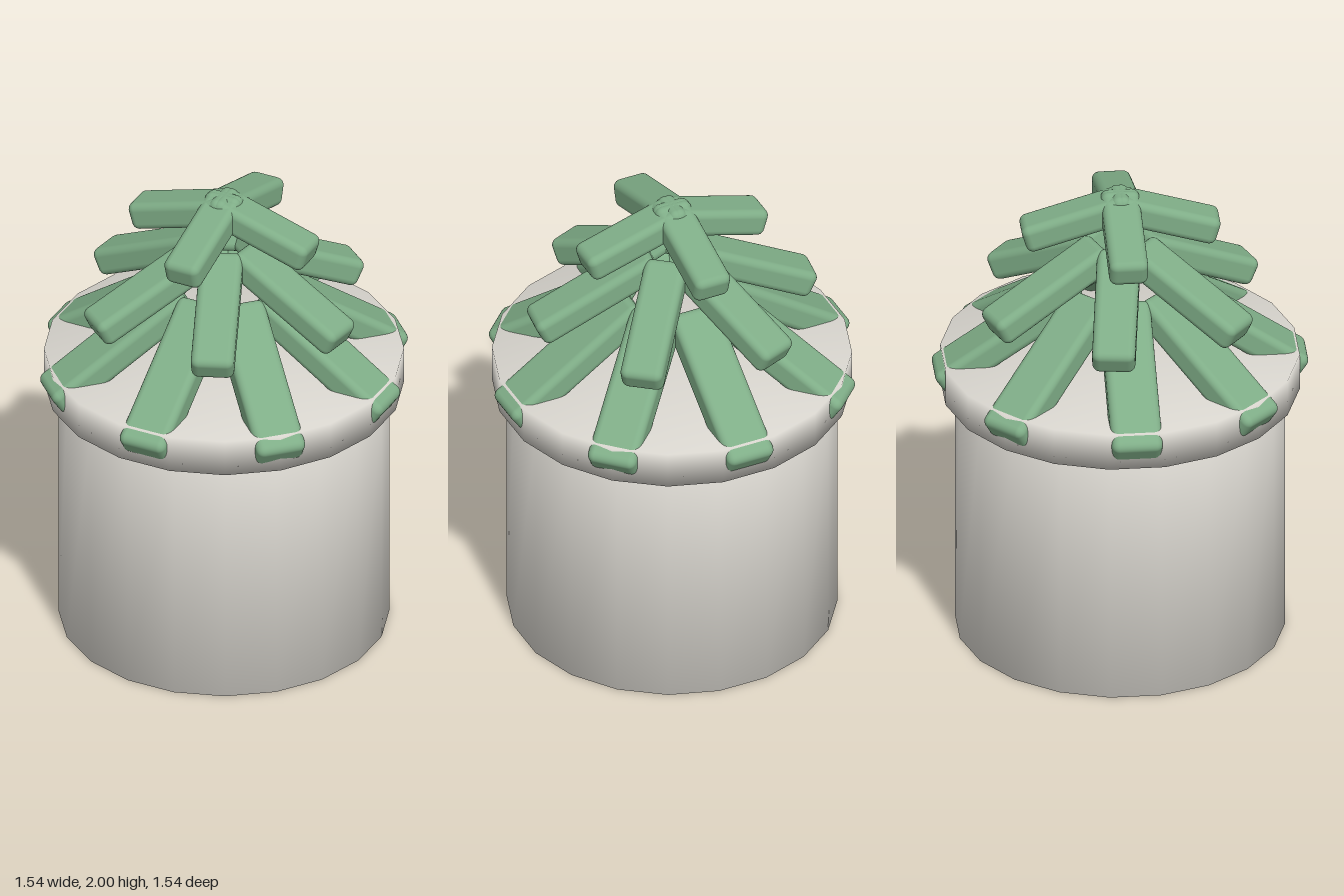
import * as THREE from 'three';
import { mergeVertices } from 'three/addons/utils/BufferGeometryUtils.js';
import { RoundedBoxGeometry } from 'three/addons/geometries/RoundedBoxGeometry.js';

const potMaterial = new THREE.MeshStandardMaterial({ color: 0xd8d5ce });
potMaterial.name = 'pale stone';
const leafMaterial = new THREE.MeshStandardMaterial({ color: 0x7fad87 });
leafMaterial.name = 'leaf green';

// Closed 20-sided drum with normals shared across its edges
function drum(name, radius, bottom, top) {
  let geo = new THREE.CylinderGeometry(radius, radius, top - bottom, 20);
  geo.deleteAttribute('uv');
  geo.deleteAttribute('normal');
  geo = mergeVertices(geo);
  geo.computeVertexNormals();
  const mesh = new THREE.Mesh(geo, potMaterial);
  mesh.name = name;
  mesh.position.y = (bottom + top) / 2;
  return mesh;
}

// Ring of rounded leaves sloping down and outwards.
// inner, outer: radii of the upper edge; top: height of its inner end
function leafRing({ name, count, turn, inner, outer, top, tilt, width }) {
  const thick = 0.12;
  const c = Math.cos(tilt), s = Math.sin(tilt);
  const length = (outer - inner) / c;
  const geo = new RoundedBoxGeometry(length, thick, width, 3, 0.032);
  const ring = new THREE.Group();
  ring.name = name;
  for (let i = 0; i < count; i++) {
    const pivot = new THREE.Group();
    pivot.name = 'leafPivot';
    pivot.rotation.y = turn + (i / count) * Math.PI * 2;
    const leaf = new THREE.Mesh(geo, leafMaterial);
    leaf.name = 'leaf';
    leaf.rotation.z = -tilt;
    leaf.position.set(
      inner + (c * length) / 2 - (s * thick) / 2,
      top - (s * length) / 2 - (c * thick) / 2, 0);
    pivot.add(leaf);
    ring.add(pivot);
  }
  return ring;
}

export function createModel() {
  const model = new THREE.Group();
  model.name = 'pottedSucculent';

  // Pot and its wider rim
  model.add(drum('pot', 0.68, 0, 1.1), drum('rim', 0.74, 1.1, 1.26));

  // Three tiers of leaves, from the widest to the crown
  const rings = [
    { name: 'lowerLeaves', count: 8, turn: 0, inner: 0.21, outer: 0.782, top: 1.61, tilt: 0.6, width: 0.21 },
    { name: 'middleLeaves', count: 6, turn: 0.12, inner: 0.11, outer: 0.615, top: 1.8, tilt: 0.45, width: 0.178 },
    { name: 'crownLeaves', count: 4, turn: Math.PI / 4, inner: -0.03, outer: 0.418, top: 2.008, tilt: 0.29, width: 0.16 },
  ];
  for (const ring of rings) model.add(leafRing(ring));
  return model;
}
